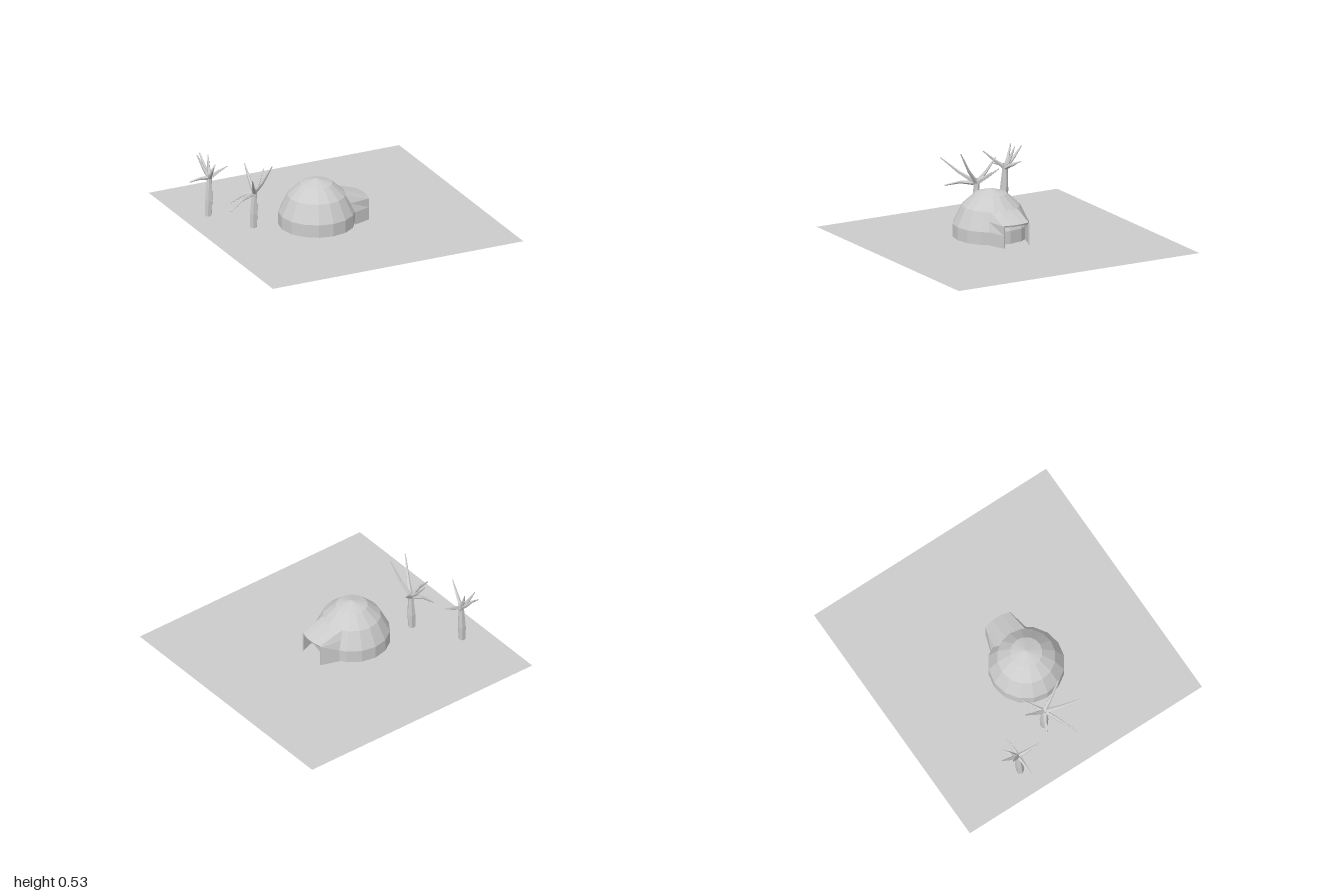
import * as THREE from 'three';

const material = new THREE.MeshStandardMaterial({ color: 0xcccccc, flatShading: true, side: THREE.DoubleSide });

function add(parent, name, geometry) {
  const mesh = new THREE.Mesh(geometry, material);
  mesh.name = name;
  parent.add(mesh);
  return mesh;
}

// Skin between cross-sections that all have the same number of points
function loft(sections, closed) {
  const n = sections[0].length, index = [];
  for (let i = 0; i < sections.length - 1; i++) {
    for (let j = 0; j < (closed ? n : n - 1); j++) {
      const a = i * n + j, b = i * n + (j + 1) % n;
      index.push(a, b, b + n, a, b + n, a + n);
    }
  }
  const geometry = new THREE.BufferGeometry().setFromPoints(sections.flat());
  geometry.setIndex(index);
  geometry.computeVertexNormals();
  return geometry;
}

// Tapered, bent limb with few sides
function limb(points, radii, sides) {
  const up = new THREE.Vector3(0, 1, 0);
  return loft(points.map((p, i) => {
    const dir = points[Math.min(i + 1, points.length - 1)].clone().sub(points[Math.max(i - 1, 0)]).normalize();
    const turn = new THREE.Quaternion().setFromUnitVectors(up, dir);
    return Array.from({ length: sides }, (_, j) => {
      const a = -j / sides * Math.PI * 2;
      return new THREE.Vector3(Math.cos(a) * radii[i], 0, Math.sin(a) * radii[i]).applyQuaternion(turn).add(p);
    });
  }), true);
}

function bareTree(name, base, fork, tips) {
  const tree = new THREE.Group();
  tree.name = name;
  const foot = new THREE.Vector3(...base), top = new THREE.Vector3(...fork);
  const trunkPath = [0, 0.4, 0.8, 1].map(t => foot.clone().lerp(top, t));
  add(tree, 'trunk', limb(trunkPath, [0.027, 0.031, 0.022, 0.02], 6));
  for (const t of tips) {
    const tip = new THREE.Vector3(...t);
    const start = top.clone();
    start.y -= 0.03;
    // Elbow reaches outward before the branch turns up
    const elbow = start.clone().lerp(tip, 0.5);
    elbow.y -= (tip.y - start.y) * 0.12 - 0.01;
    add(tree, 'branch', limb([start, elbow, tip], [0.018, 0.011, 0.004], 5));
  }
  return tree;
}

export function createModel() {
  const model = new THREE.Group();
  const V = (x, y, z) => new THREE.Vector3(x, y, z);
  const floor = 0.015;

  // Flat ground sheet
  const ground = add(model, 'ground', new THREE.PlaneGeometry(2, 2).rotateX(-Math.PI / 2));
  ground.position.y = floor;

  // Domed hut: upright wall, then a faceted cap
  const hut = new THREE.Group();
  hut.name = 'hut';
  hut.position.set(-0.175, 0, 0.04);
  model.add(hut);
  const profile = [[0.275, floor], [0.275, 0.11], [0.21, 0.243], [0.115, 0.33], [0, 0.365]];
  add(hut, 'dome', new THREE.LatheGeometry(profile.map(p => new THREE.Vector2(...p)), 16));

  // Entrance passage: narrows and slopes down from the dome to the mouth
  const section = (half) => [...half.map(([x, y, z]) => V(x, y, -z)),
    ...half.slice().reverse().map(([x, y, z]) => V(x, y, z))];
  const inner = [[0.231, floor, 0.15], [0.231, 0.11, 0.15], [0.205, 0.18, 0.135], [0.17, 0.245, 0.11], [0.2, 0.245, 0.04]];
  const outer = [[0.365, floor, 0.105], [0.365, 0.11, 0.105], [0.365, 0.178, 0.105], [0.365, 0.182, 0.1], [0.38, 0.182, 0.04]];
  const lip = [[0.362, floor, 0.096], [0.362, 0.11, 0.096], [0.362, 0.168, 0.096], [0.362, 0.17, 0.092], [0.376, 0.17, 0.04]];
  add(hut, 'entrance', loft([section(inner), section(outer), section(lip)], false));

  // Bare trees beside the hut
  model.add(bareTree('rearTree', [-0.805, 0, -0.435], [-0.79, 0.33, -0.445], [
    [-0.8, 0.443, -0.585], [-0.705, 0.355, -0.525], [-0.645, 0.36, -0.45],
    [-0.95, 0.297, -0.44], [-0.835, 0.436, -0.285], [-0.85, 0.457, -0.525], [-0.77, 0.45, -0.51],
  ]));
  model.add(bareTree('nearTree', [-0.61, 0, -0.1], [-0.605, 0.31, -0.095], [
    [-0.605, 0.45, -0.255], [-0.475, 0.4, -0.205], [-0.545, 0.53, 0.07],
    [-0.73, 0.47, 0.13], [-0.85, 0.222, 0.025], [-0.755, 0.2, -0.17], [-0.515, 0.37, -0.17],
  ]));
  return model;
}
